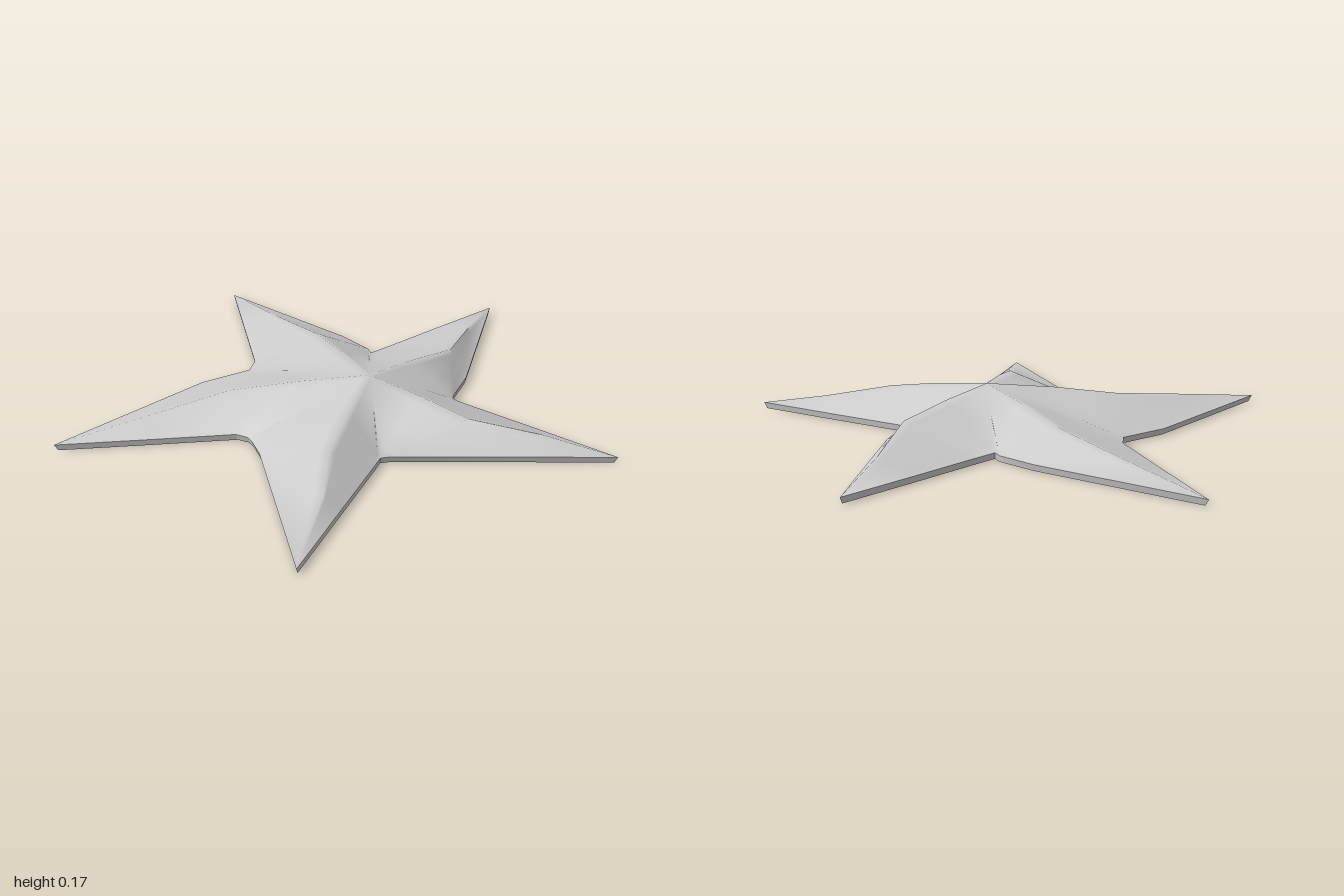
import * as THREE from 'three';
import { toCreasedNormals } from 'three/addons/utils/BufferGeometryUtils.js';

const RIM = 0.024;
const V = (x, y, z) => new THREE.Vector3(x, y, z);
const rim = ([x, z]) => V(x, RIM, z);
const mix = (a, b, t) => a.clone().lerp(b, t);
const apex = V(0.06, 0.167, 0.04);

// Arms in clockwise order from above, as [x, z]: tip, two ridge points, and
// the two shoulder points on either side (listed from notch towards tip).
const arms = [
  { tip: [0.05, -0.99], ridge: [[0.17, -0.4], [0.1, -0.69]],
    before: [[-0.13, -0.46], [-0.05, -0.7]], after: [[0.285, -0.22], [0.26, -0.37]] },
  { tip: [0.99, -0.14], ridge: [[0.49, 0.04], [0.73, -0.07]],
    before: [[0.32, -0.187], [0.65, -0.165]], after: [[0.3, 0.295], [0.64, 0.08]] },
  { tip: [0.39, 0.99], ridge: [[0.18, 0.49], [0.28, 0.68]],
    before: [[0.285, 0.34], [0.335, 0.65]], after: [[-0.17, 0.47], [-0.1, 0.52]] },
  { tip: [-0.76, 0.87], ridge: [[-0.37, 0.33], [-0.57, 0.61]],
    before: [[-0.25, 0.462], [-0.5, 0.663]], after: [[-0.55, 0.125], [-0.6, 0.22]] },
  { tip: [-0.99, -0.49], ridge: [[-0.36, -0.23], [-0.66, -0.35]],
    before: [[-0.53, -0.03], [-0.76, -0.26]], after: [[-0.2, -0.37], [-0.35, -0.41]] },
];
// Notch i lies between arm i and arm i + 1
const notches = [[0.295, -0.195], [0.28, 0.315], [-0.2, 0.455], [-0.505, 0.04], [-0.17, -0.345]].map(rim);
const valleys = notches.map((n) => mix(apex, n, 0.5).setY(0.103));

// Collects triangles, skipping collapsed ones
function triangleList() {
  const pos = [];
  const tri = (a, b, c) => {
    const area = b.clone().sub(a).cross(c.clone().sub(a)).length();
    if (area > 1e-8) for (const p of [a, b, c]) pos.push(p.x, p.y, p.z);
  };
  const build = (crease) => {
    const g = new THREE.BufferGeometry();
    g.setAttribute('position', new THREE.Float32BufferAttribute(pos, 3));
    return toCreasedNormals(g, crease);
  };
  return { tri, build };
}

// Sloping flank lofted between an arm's ridge and one of its edges;
// narrow outer columns keep the ridges and valleys only slightly soft
const COLUMNS = [0, 0.12, 0.5, 0.9, 1];
function addFlank(list, ridge, edge, flip) {
  const rows = ridge.map((r, j) => COLUMNS.map((t) => mix(r, edge[j], t)));
  for (let j = 0; j < rows.length - 1; j++) {
    for (let k = 0; k < COLUMNS.length - 1; k++) {
      const a = rows[j][k], b = rows[j][k + 1], c = rows[j + 1][k], d = rows[j + 1][k + 1];
      if (flip) { list.tri(a, c, b); list.tri(b, c, d); }
      else { list.tri(a, b, c); list.tri(b, d, c); }
    }
  }
}

export function createModel() {
  const group = new THREE.Group();
  group.name = 'starfish';
  const material = new THREE.MeshStandardMaterial({ color: 0xcccccc });
  const add = (name, geometry) => {
    const mesh = new THREE.Mesh(geometry, material);
    mesh.name = name;
    group.add(mesh);
  };

  // Ridged upper surface, two flanks per arm
  const top = triangleList();
  const outline = [];
  arms.forEach((arm, i) => {
    const prev = (i + 4) % 5;
    const tip = rim(arm.tip);
    const [r1, r2] = arm.ridge.map(([x, z], k) => V(x, k ? 0.067 : 0.111, z));
    const ridge = [apex, mix(apex, r1, 0.5).setY(0.145), r1, r2, tip];
    const before = arm.before.map(rim), after = arm.after.map(rim);
    addFlank(top, ridge, [valleys[prev], notches[prev], ...before, tip], true);
    addFlank(top, ridge, [valleys[i], notches[i], ...after, tip], false);
    outline.push(...before, tip, after[1], after[0], notches[i]);
  });
  add('upperSurface', top.build(1));

  // Thin rim, drawn in a little towards the base
  const base = outline.map((p) => mix(apex, p, 0.988).setY(0));
  const side = triangleList();
  outline.forEach((a, i) => {
    const n = (i + 1) % outline.length;
    side.tri(a, outline[n], base[i]);
    side.tri(outline[n], base[n], base[i]);
  });
  add('rim', side.build(0.5));

  // Flat underside
  const under = triangleList();
  const flat = base.map((p) => new THREE.Vector2(p.x, p.z));
  for (const [a, b, c] of THREE.ShapeUtils.triangulateShape(flat, [])) {
    const faceDown = THREE.ShapeUtils.area([flat[a], flat[b], flat[c]]) > 0;
    if (faceDown) under.tri(base[a], base[b], base[c]);
    else under.tri(base[a], base[c], base[b]);
  }
  add('underside', under.build(0.5));
  return group;
}
